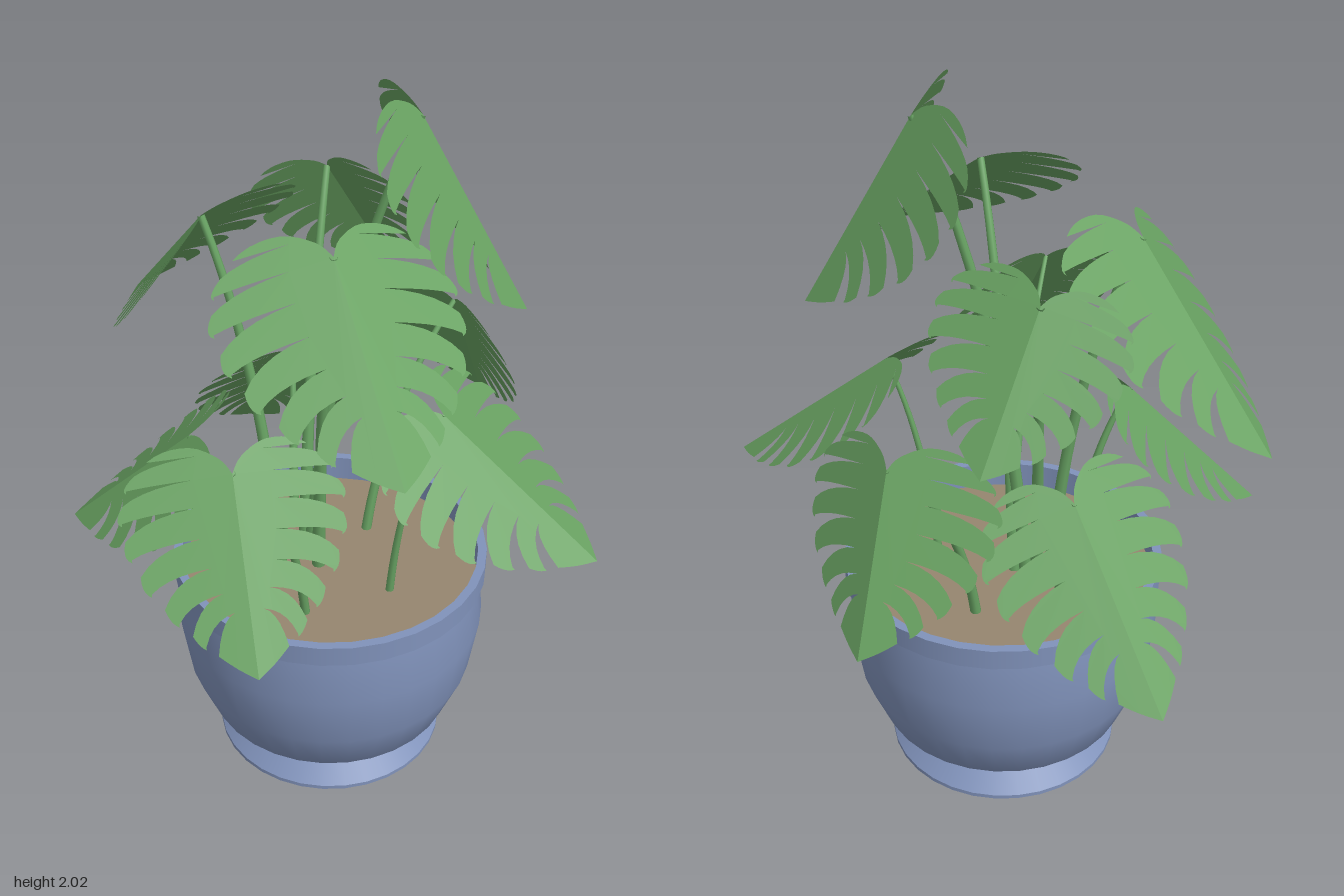
import * as THREE from 'three';

const V2 = (x, y) => new THREE.Vector2(x, y);
const V3 = (a) => new THREE.Vector3(...a);

// Half of a split leaf: x = 0..1 across, y = 0 (joint) .. 1 (tip)
function halfLeafShape() {
  const edge = new THREE.SplineCurve([
    [0, 0], [0.1, -0.08], [0.34, -0.15], [0.65, -0.13], [0.9, -0.01], [1, 0.15],
    [0.96, 0.34], [0.82, 0.53], [0.6, 0.7], [0.38, 0.83], [0.18, 0.93], [0, 1],
  ].map((p) => V2(...p)));
  const at = (i) => edge.getPoint(i / 11);
  const shape = new THREE.Shape();
  const gap = 0.23, first = 3.5, step = 0.93, slits = 7;
  shape.moveTo(0, 0);
  for (let i = 0.25; i < first - gap; i += 0.25) { const p = at(i); shape.lineTo(p.x, p.y); }
  for (let k = 0; k < slits; k++) {
    const i = first + k * step;
    const e = at(i), a = at(i - gap), b = at(i + gap);
    // slit runs in towards the midrib and sweeps back from the tip
    const root = e.y * 0.8 - 0.05;
    const inner = V2(e.x * 0.36, root + 0.2 * (e.y - root));
    const bow = (p) => V2(inner.x + (p.x - inner.x) * 0.7, inner.y + (p.y - inner.y) * 0.15);
    const ca = bow(a), cb = bow(b);
    shape.lineTo(a.x, a.y);
    shape.quadraticCurveTo(ca.x, ca.y, inner.x, inner.y);
    shape.quadraticCurveTo(cb.x, cb.y, b.x, b.y);
    // finger end, fuller on the tip side
    if (k < slits - 1) {
      const n = at(i + step - gap), c = at(i + 0.6);
      shape.quadraticCurveTo(c.x * 1.08, c.y + 0.01, n.x, n.y + 0.015);
    }
  }
  for (let i = first + (slits - 1) * step + 0.4; i < 11; i += 0.3) { const p = at(i); shape.lineTo(p.x, p.y); }
  shape.lineTo(0, 1);
  return shape;
}

// Folded leaf blade from its joint to its tip, rolled about its midrib
function makeLeaf(shape, material, joint, tip, width, fold, roll) {
  const leaf = new THREE.Group();
  leaf.name = 'leaf';
  const along = tip.clone().sub(joint);
  const length = along.length();
  along.normalize();
  const across = new THREE.Vector3(0, 1, 0).cross(along).normalize().applyAxisAngle(along, -roll);
  const normal = along.clone().cross(across);
  for (const side of [1, -1]) {
    const geo = new THREE.ShapeGeometry(shape, 5);
    const pos = geo.attributes.position;
    for (let i = 0; i < pos.count; i++) {
      const u = pos.getX(i) * width, v = pos.getY(i) * length;
      pos.setXYZ(i, side * u, -fold * u, v);
    }
    geo.computeVertexNormals();
    const half = new THREE.Mesh(geo, material);
    half.name = side > 0 ? 'leafHalfLeft' : 'leafHalfRight';
    leaf.add(half);
  }
  leaf.applyMatrix4(new THREE.Matrix4().makeBasis(across, normal, along).setPosition(joint));
  return leaf;
}

// Tapered stem, rising steeply and then leaning out to the joint
function makeStem(material, base, joint, radius) {
  const bend = new THREE.Vector3(
    base.x + (joint.x - base.x) * 0.2,
    base.y + (joint.y - base.y) * 0.62,
    base.z + (joint.z - base.z) * 0.2);
  const path = new THREE.QuadraticBezierCurve3(base, bend, joint);
  const steps = 14, sides = 8;
  const geo = new THREE.TubeGeometry(path, steps, radius, sides);
  const pos = geo.attributes.position, p = new THREE.Vector3();
  for (let i = 0; i < pos.count; i++) {
    const t = Math.floor(i / (sides + 1)) / steps;
    const c = path.getPointAt(t);
    p.fromBufferAttribute(pos, i).sub(c).multiplyScalar(1.1 - 0.55 * t).add(c);
    pos.setXYZ(i, p.x, p.y, p.z);
  }
  const stem = new THREE.Mesh(geo, material);
  stem.name = 'stem';
  return stem;
}

export function createModel() {
  const model = new THREE.Group();
  model.name = 'pottedPlant';
  const mat = (name, color, side = THREE.FrontSide) => {
    const m = new THREE.MeshStandardMaterial({ color, side });
    m.name = name;
    return m;
  };
  const potBlue = mat('potBlue', 0x8092ba);
  const soilBrown = mat('soilBrown', 0x96866f);
  const leafGreen = mat('leafGreen', 0x68a161, THREE.DoubleSide);
  const stemGreen = mat('stemGreen', 0x68a363);

  // Pot: one lathe per smooth stretch, so edges between them stay sharp
  const pot = new THREE.Group();
  pot.name = 'pot';
  pot.position.set(0.019, 0, -0.003);
  const turn = (name, material, points) => {
    const mesh = new THREE.Mesh(new THREE.LatheGeometry(points.map((p) => V2(...p)), 32), material);
    mesh.name = name;
    pot.add(mesh);
  };
  turn('potBase', potBlue, [[0, 0], [0.335, 0]]);
  turn('footEdge', potBlue, [[0.335, 0], [0.335, 0.012]]);
  turn('foot', potBlue, [[0.335, 0.012], [0.28, 0.065]]);
  turn('bowl', potBlue, [[0.28, 0.065], [0.365, 0.14], [0.42, 0.28], [0.445, 0.45], [0.428, 0.6]]);
  turn('rimUnderside', potBlue, [[0.42, 0.597], [0.449, 0.597]]);
  turn('rimOuter', potBlue, [[0.449, 0.597], [0.449, 0.657]]);
  turn('rimTop', potBlue, [[0.449, 0.657], [0.424, 0.657]]);
  turn('rimInner', potBlue, [[0.424, 0.657], [0.424, 0.575]]);
  turn('soil', soilBrown, [[0.426, 0.58], [0, 0.58]]);
  model.add(pot);

  // Leaves: stem base (x, z), joint, tip, half width, fold, roll, stem radius
  const plants = [
    [[0.22, -0.02], [0.55, 1.23, 0.04], [0.775, 0.82, 0.01], 0.27, 0.35, -0.25, 0.014],
    [[0.03, 0.2], [0.06, 1.21, 0.33], [0.17, 0.865, 0.755], 0.29, 0.28, -0.12, 0.011],
    [[0.04, -0.09], [0.15, 1.955, 0.17], [0.27, 1.46, 0.43], 0.27, 0.46, 0.2, 0.018],
    [[0.0, -0.03], [-0.2, 1.72, 0.17], [-0.46, 1.37, 0.565], 0.3, 0.32, 0, 0.018],
    [[-0.19, 0.07], [-0.55, 1.29, 0.14], [-0.735, 0.9, 0.36], 0.265, 0.25, 0, 0.012],
    [[-0.075, -0.11], [-0.1, 1.64, -0.33], [0.08, 1.22, -0.76], 0.29, 0.3, 0.35, 0.018],
    [[0.14, -0.23], [0.255, 1.06, -0.32], [0.437, 0.62, -0.655], 0.26, 0.32, -0.22, 0.014],
    [[0.065, -0.13], [0.34, 1.64, -0.26], [0.57, 1.29, -0.22], 0.235, 0.35, 0.45, 0.018],
    [[-0.18, -0.14], [-0.28, 1.09, -0.25], [-0.41, 0.75, -0.59], 0.26, 0.32, 0.25, 0.014],
  ];
  const shape = halfLeafShape();
  for (const [[bx, bz], j, t, width, fold, roll, radius] of plants) {
    const joint = V3(j);
    model.add(makeStem(stemGreen, new THREE.Vector3(bx, 0.57, bz), joint, radius));
    model.add(makeLeaf(shape, leafGreen, joint, V3(t), width, fold, roll));
  }
  return model;
}
